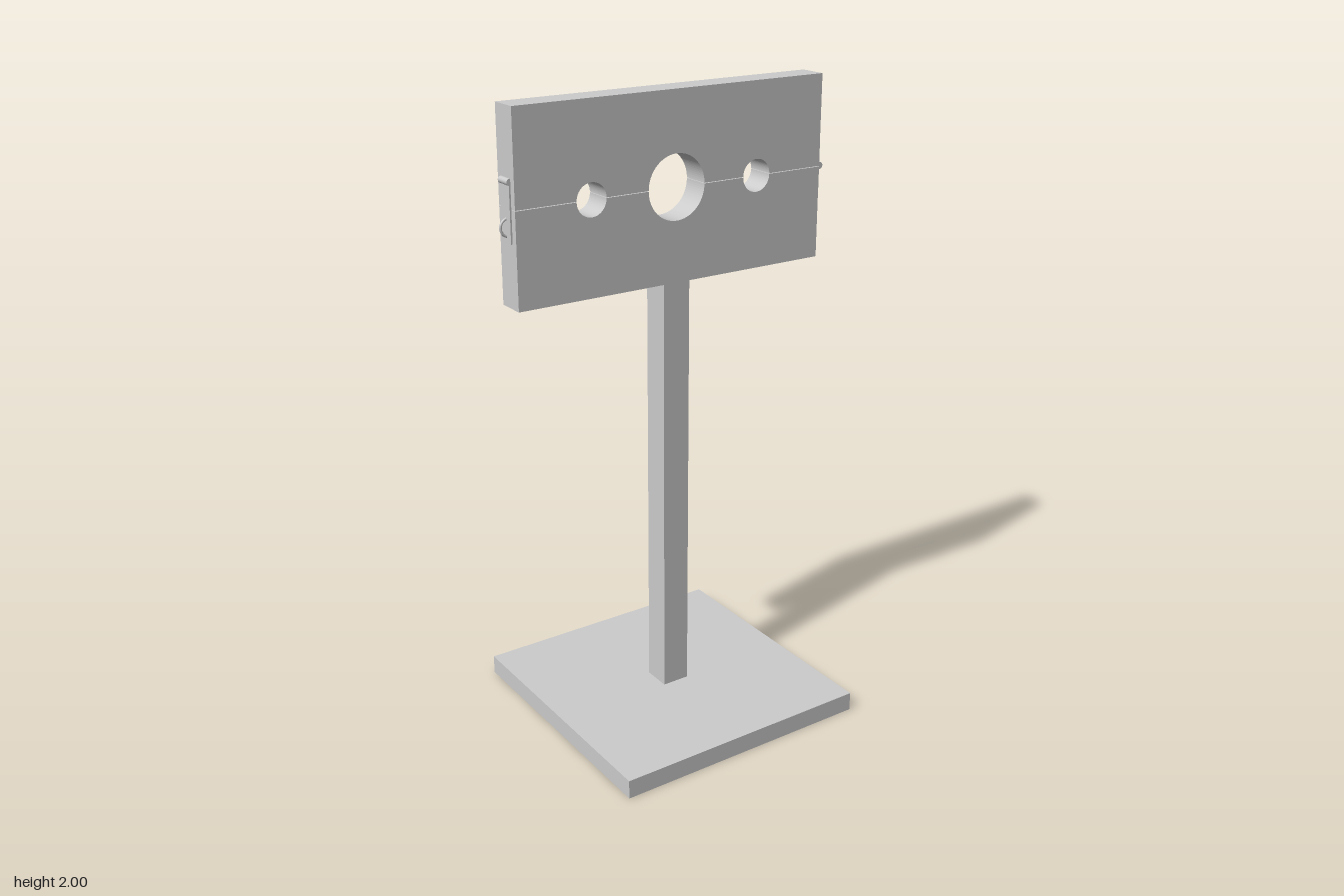
import * as THREE from 'three';

const CX = 0.004;        // centre line of the woodwork
const SPLIT = 1.717;     // height of the joint between the two boards
const DEPTH = 0.091;
const HALF = 0.532;      // half width of the boards

export function createModel() {
  const group = new THREE.Group();
  const material = new THREE.MeshStandardMaterial({ color: 0xcccccc });

  const add = (name, geometry, x, y, z = 0, parent = group) => {
    const mesh = new THREE.Mesh(geometry, material);
    mesh.name = name;
    mesh.position.set(x, y, z);
    parent.add(mesh);
    return mesh;
  };
  const box = (name, w, h, d, x, y, parent) => add(name, new THREE.BoxGeometry(w, h, d), x, y, 0, parent);
  const pin = (name, r, length, x, y, parent) =>
    add(name, new THREE.CylinderGeometry(r, r, length, 16).rotateX(Math.PI / 2), x, y, 0, parent);

  // Base and post
  box('base', 0.857, 0.061, 0.857, CX, 0.0305);
  box('post', 0.091, 1.37, DEPTH, CX, 0.745);

  // Board with half-round cut-outs along its joint edge; dir is +1 above the joint, -1 below
  const board = (name, height, dir) => {
    const shape = new THREE.Shape();
    shape.moveTo(-HALF, 0);
    for (const [x, r] of [[-0.289, 0.049], [0, 0.098], [0.289, 0.049]]) {
      shape.lineTo(x - r, 0);
      shape.absarc(x, 0, r, Math.PI, dir > 0 ? 0 : 2 * Math.PI, dir > 0);
    }
    shape.lineTo(HALF, 0);
    shape.lineTo(HALF, dir * height);
    shape.lineTo(-HALF, dir * height);
    const geometry = new THREE.ExtrudeGeometry(shape, { depth: DEPTH, bevelEnabled: false, curveSegments: 24 });
    add(name, geometry, CX, SPLIT + dir * 0.001, -DEPTH / 2);
  };
  board('upperBoard', 0.282, 1);
  board('lowerBoard', 0.286, -1);

  // Hinge on the left end: two leaves and a barrel
  const hinge = new THREE.Group();
  hinge.name = 'hinge';
  group.add(hinge);
  const left = CX + HALF;
  for (const dir of [1, -1]) box('hingeLeaf', 0.006, 0.076, 0.08, left + 0.002, SPLIT + dir * 0.04, hinge);
  pin('hingeBarrel', 0.011, 0.078, left + 0.008, SPLIT, hinge);

  // Hasp on the right end: strap, pivot and staple ring
  const hasp = new THREE.Group();
  hasp.name = 'hasp';
  group.add(hasp);
  const right = CX - HALF;
  box('haspStrap', 0.006, 0.17, 0.05, right - 0.002, 1.705, hasp);
  pin('haspPivot', 0.01, 0.05, right - 0.002, 1.793, hasp);
  add('stapleRing', new THREE.TorusGeometry(0.026, 0.004, 8, 24), right + 0.003, 1.663, 0, hasp);

  return group;
}
